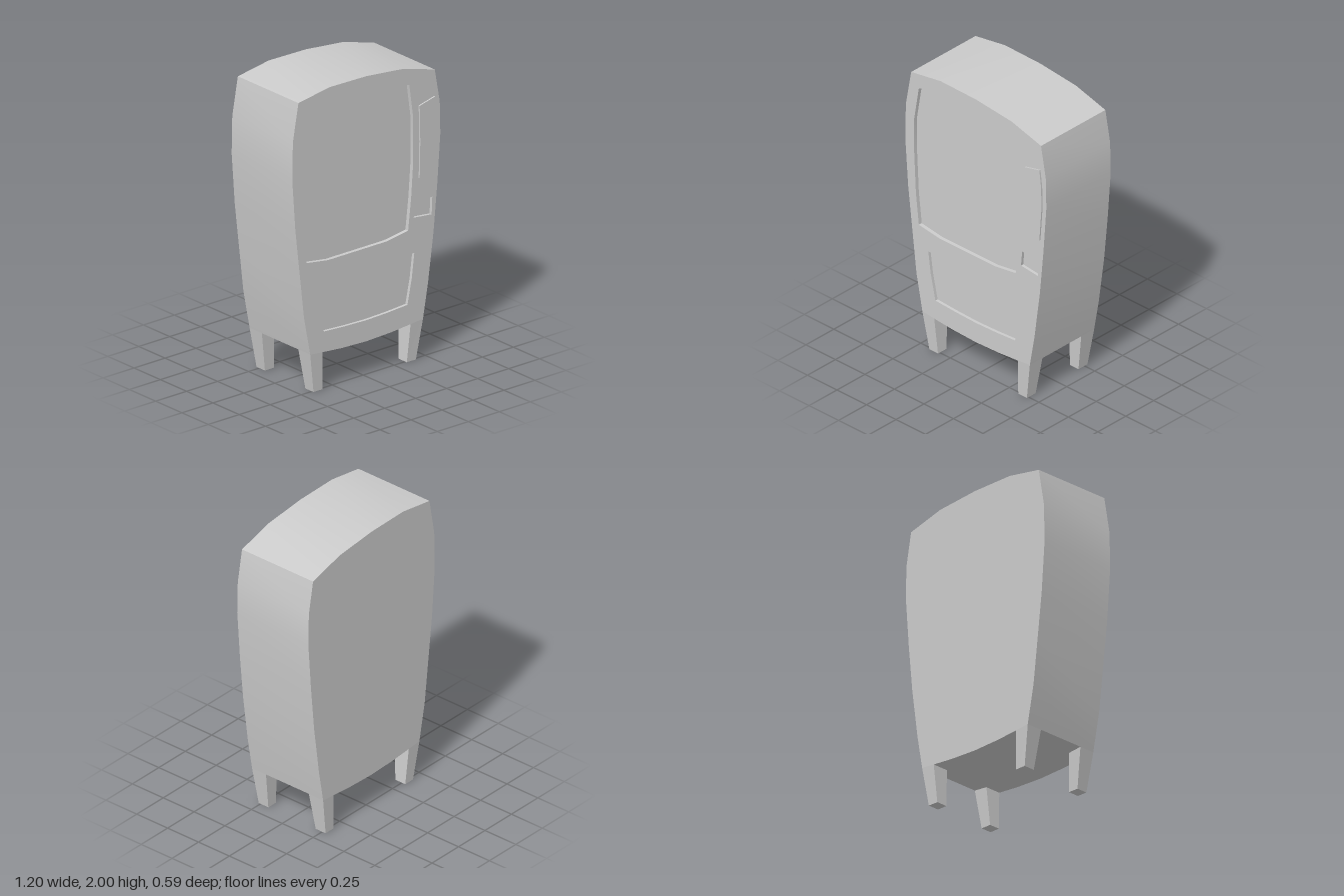
import * as THREE from 'three';
import { toCreasedNormals } from 'three/addons/utils/BufferGeometryUtils.js';

const BACK = -0.293, FRONT = 0.283;

// All loops run counter-clockwise seen from the front
const cabinetOutline = [
  [0.455, 0.265], [0.495, 0.49], [0.54, 0.82], [0.57, 1.13], [0.595, 1.46], [0.59, 1.675],
  [0.55, 1.895], [0.3, 1.965], [0, 1.995], [-0.3, 2], [-0.55, 1.96], [-0.595, 1.71],
  [-0.6, 1.46], [-0.575, 1.12], [-0.54, 0.82], [-0.505, 0.52], [-0.455, 0.265],
  [-0.355, 0.255], [-0.2, 0.242], [0, 0.235], [0.2, 0.242], [0.355, 0.255],
];
const screenOutline = [
  [-0.485, 0.88], [-0.31, 0.855], [0.16, 0.855], [0.335, 0.88], [0.36, 1.1], [0.375, 1.31],
  [0.375, 1.63], [0.345, 1.845], [0.155, 1.9], [-0.295, 1.915], [-0.485, 1.87],
  [-0.525, 1.63], [-0.525, 1.4], [-0.51, 1.1],
];
const lowerPanelOutline = [
  [-0.345, 0.39], [-0.17, 0.38], [0, 0.375], [0.17, 0.38], [0.33, 0.39], [0.365, 0.56],
  [0.385, 0.72], [0.22, 0.73], [-0.24, 0.73], [-0.405, 0.72], [-0.385, 0.57],
];
const slotOutline = [[0.38, 0.955], [0.525, 0.94], [0.53, 1.055], [0.39, 1.06]];
const controlPanelOutline = [
  [0.42, 1.21], [0.545, 1.21], [0.563, 1.45], [0.56, 1.6], [0.545, 1.72], [0.42, 1.69], [0.425, 1.45],
];

const toVectors = (pts) => pts.map(([x, y]) => new THREE.Vector2(x, y));

// Wall along a closed loop; faces outward when z1 > z0, inward when z1 < z0
function wall(pts, z0, z1) {
  const pos = [];
  pts.forEach(([ax, ay], i) => {
    const [bx, by] = pts[(i + 1) % pts.length];
    pos.push(ax, ay, z0, bx, by, z0, bx, by, z1, ax, ay, z0, bx, by, z1, ax, ay, z1);
  });
  const geo = new THREE.BufferGeometry();
  geo.setAttribute('position', new THREE.Float32BufferAttribute(pos, 3));
  return toCreasedNormals(geo, 0.5);
}

// Flat face at depth z, with optional holes
function face(pts, z, holes = []) {
  const shape = new THREE.Shape(toVectors(pts));
  shape.holes = holes.map((h) => new THREE.Path(toVectors(h)));
  return new THREE.ShapeGeometry(shape).translate(0, 0, z);
}

// Tapered leg: a box whose corners are moved, open where it meets the cabinet
function leg(sx, sz) {
  const geo = new THREE.BoxGeometry(1, 1, 1);
  const p = geo.attributes.position;
  const zOuter = sz > 0 ? [FRONT, 0.265] : [BACK, -0.277];
  const zInner = sz > 0 ? [0.17, 0.187] : [-0.177, -0.197];
  for (let i = 0; i < p.count; i++) {
    const low = p.getY(i) > 0 ? 0 : 1;
    const outerX = p.getX(i) * sx > 0, outerZ = p.getZ(i) * sz > 0;
    const x = outerX ? [0.455, 0.413][low] : [0.355, 0.34][low];
    const y = low ? 0 : outerX ? 0.265 : 0.255;
    p.setXYZ(i, sx * x, y, (outerZ ? zOuter : zInner)[low]);
  }
  const index = Array.from(geo.index.array);
  index.splice(12, 6); // drop the hidden top
  geo.setIndex(index);
  geo.computeVertexNormals();
  return geo;
}

export function createModel() {
  const model = new THREE.Group();
  model.name = 'retroCabinet';
  const material = new THREE.MeshStandardMaterial({ color: 0xcccccc });
  const add = (name, geo, parent = model) => {
    const mesh = new THREE.Mesh(geo, material);
    mesh.name = name;
    parent.add(mesh);
    return mesh;
  };

  // Cabinet shell
  const recesses = [
    ['screen', screenOutline, 0.026],
    ['lowerPanel', lowerPanelOutline, 0.02],
    ['slot', slotOutline, 0.02],
  ];
  add('cabinetSides', wall(cabinetOutline, BACK, FRONT));
  add('cabinetFront', face(cabinetOutline, FRONT, recesses.map((r) => r[1])));
  const mirrored = cabinetOutline.map(([x, y]) => [-x, y]);
  add('cabinetBack', face(mirrored, -BACK).rotateY(Math.PI));

  // Recessed screen, lower panel and slot
  for (const [name, pts, depth] of recesses) {
    const group = new THREE.Group();
    group.name = name;
    add(name + 'Rim', wall(pts, FRONT, FRONT - depth), group);
    add(name + 'Face', face(pts, FRONT - depth), group);
    model.add(group);
  }

  // Raised control panel
  const panel = new THREE.Group();
  panel.name = 'controlPanel';
  add('controlPanelEdge', wall(controlPanelOutline, FRONT, FRONT + 0.01), panel);
  add('controlPanelFace', face(controlPanelOutline, FRONT + 0.01), panel);
  model.add(panel);

  // Four legs
  for (const sx of [1, -1]) {
    for (const sz of [1, -1]) {
      add((sz > 0 ? 'front' : 'back') + (sx > 0 ? 'Left' : 'Right') + 'Leg', leg(sx, sz));
    }
  }
  return model;
}
